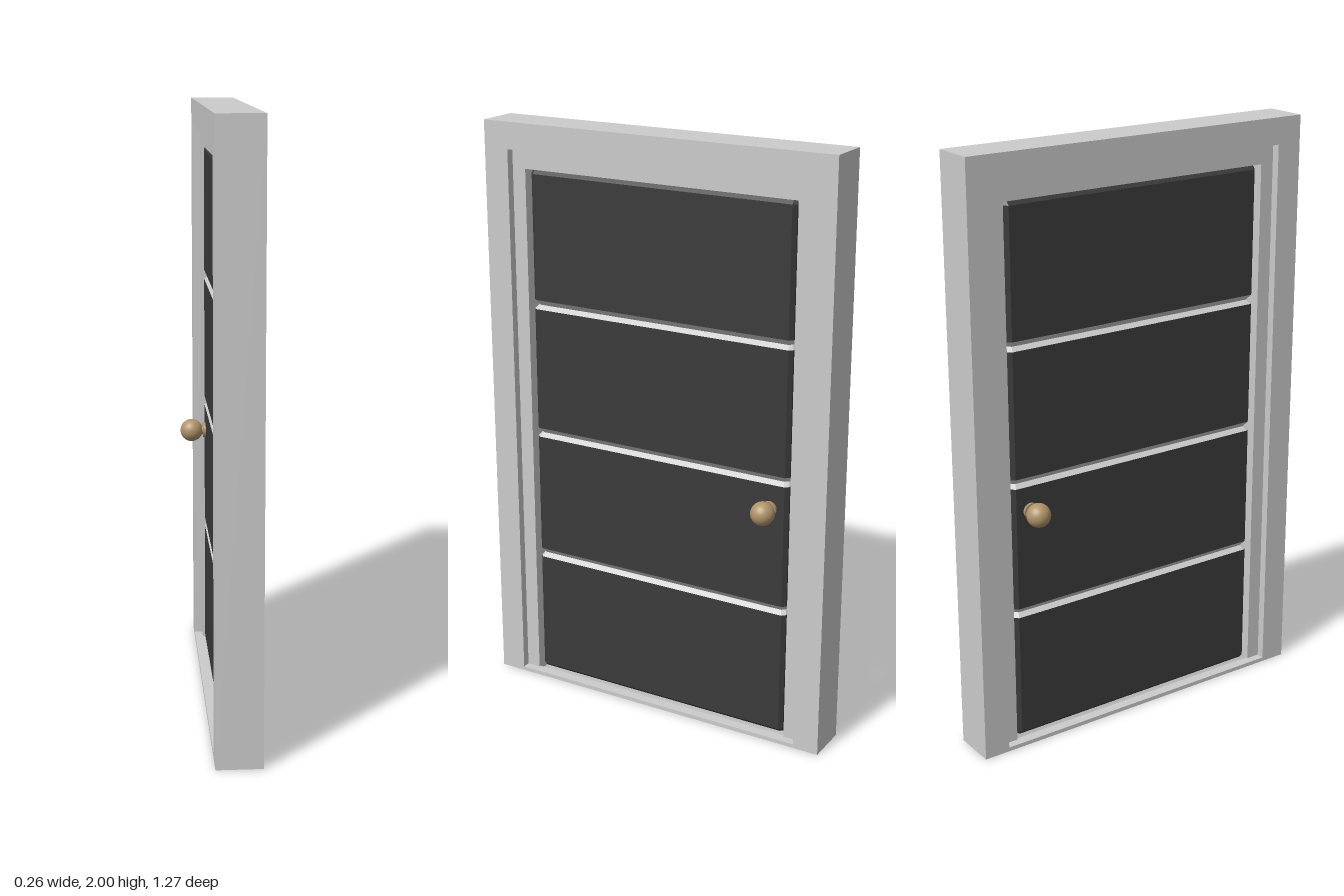
import * as THREE from 'three';
import { ConvexGeometry } from 'three/addons/geometries/ConvexGeometry.js';

const grey = new THREE.MeshStandardMaterial({ color: 0xcccccc });
const dark = new THREE.MeshStandardMaterial({ color: 0x3b3b3b, flatShading: true });
const brass = new THREE.MeshStandardMaterial({ color: 0xb0946a });

function add(parent, name, geometry, material) {
  const mesh = new THREE.Mesh(geometry, material);
  mesh.name = name;
  parent.add(mesh);
  return mesh;
}

// Upright arch outline (posts and head) in the z-y plane, extruded through x
function archGeometry(outerW, outerH, innerW, innerH, depth) {
  const shape = new THREE.Shape([
    [-outerW, 0], [-innerW, 0], [-innerW, innerH], [innerW, innerH],
    [innerW, 0], [outerW, 0], [outerW, outerH], [-outerW, outerH],
  ].map(([z, y]) => new THREE.Vector2(z, y)));
  const geo = new THREE.ExtrudeGeometry(shape, { depth, bevelEnabled: false });
  return geo.translate(0, 0, -depth / 2).rotateY(Math.PI / 2);
}

// Horizontal slice through the door with chamfered side edges
function doorRing(y, halfDepth, inset = 0) {
  const w = 0.484 - inset, c = 0.012, points = [];
  for (const sx of [-1, 1]) {
    for (const sz of [-1, 1]) {
      points.push(new THREE.Vector3(sx * halfDepth, y, sz * (w - c)));
      points.push(new THREE.Vector3(sx * (halfDepth - c), y, sz * w));
    }
  }
  return points;
}

export function createModel() {
  const model = new THREE.Group();
  model.name = 'door';

  // Frame: full-depth casing with a recessed stop inside it
  const W = 0.635, D = 0.15;
  add(model, 'casing', archGeometry(W, 2, 0.545, 1.91, D), grey);
  add(model, 'doorStop', archGeometry(0.545, 1.91, 0.496, 1.846, 0.094), grey);

  // Thin threshold, slotted beneath the door
  for (const s of [-1, 1]) {
    const rail = add(model, 'thresholdRail', new THREE.BoxGeometry(0.035, 0.014, 1.09), grey);
    rail.position.set(s * 0.0575, 0.007, 0);
  }

  // Door leaf: dark panels separated by pale V-grooves
  const leaf = new THREE.Group();
  leaf.name = 'doorLeaf';
  model.add(leaf);
  const face = 0.04, floor = 0.024, bevel = 0.012;
  const grooves = [0.474, 0.929, 1.387];
  const half = 0.016;
  const bottom = 0.02, top = 1.842;
  for (let i = 0; i <= grooves.length; i++) {
    const lo = i === 0 ? bottom : grooves[i - 1] + half;
    const hi = i === grooves.length ? top : grooves[i] - half;
    const points = [];
    if (i === 0) points.push(...doorRing(lo, face - bevel), ...doorRing(lo + bevel, face));
    else points.push(...doorRing(lo, face));
    if (i === grooves.length) points.push(...doorRing(hi - bevel, face), ...doorRing(hi, face - bevel));
    else points.push(...doorRing(hi, face));
    add(leaf, 'panel', new ConvexGeometry(points), dark);
  }
  for (const y of grooves) {
    for (const s of [-1, 1]) {
      const points = [...doorRing(y - 0.003, floor, 0.008), ...doorRing(y + s * half, face)];
      add(leaf, 'groove', new ConvexGeometry(points), grey);
    }
  }

  // A round knob with stem and rose on each side
  for (const s of [-1, 1]) {
    const handle = new THREE.Group();
    handle.name = 'knob';
    handle.position.set(0, 0.83, -0.42);
    model.add(handle);
    add(handle, 'knobBall', new THREE.SphereGeometry(0.04, 32, 20), brass).position.x = s * 0.09;
    const stem = new THREE.CylinderGeometry(0.015, 0.015, 0.05, 20).rotateZ(Math.PI / 2);
    add(handle, 'knobStem', stem, brass).position.x = s * 0.06;
    const rose = new THREE.CylinderGeometry(0.026, 0.026, 0.012, 28).rotateZ(Math.PI / 2);
    add(handle, 'knobRose', rose, brass).position.x = s * 0.043;
  }

  return model;
}
